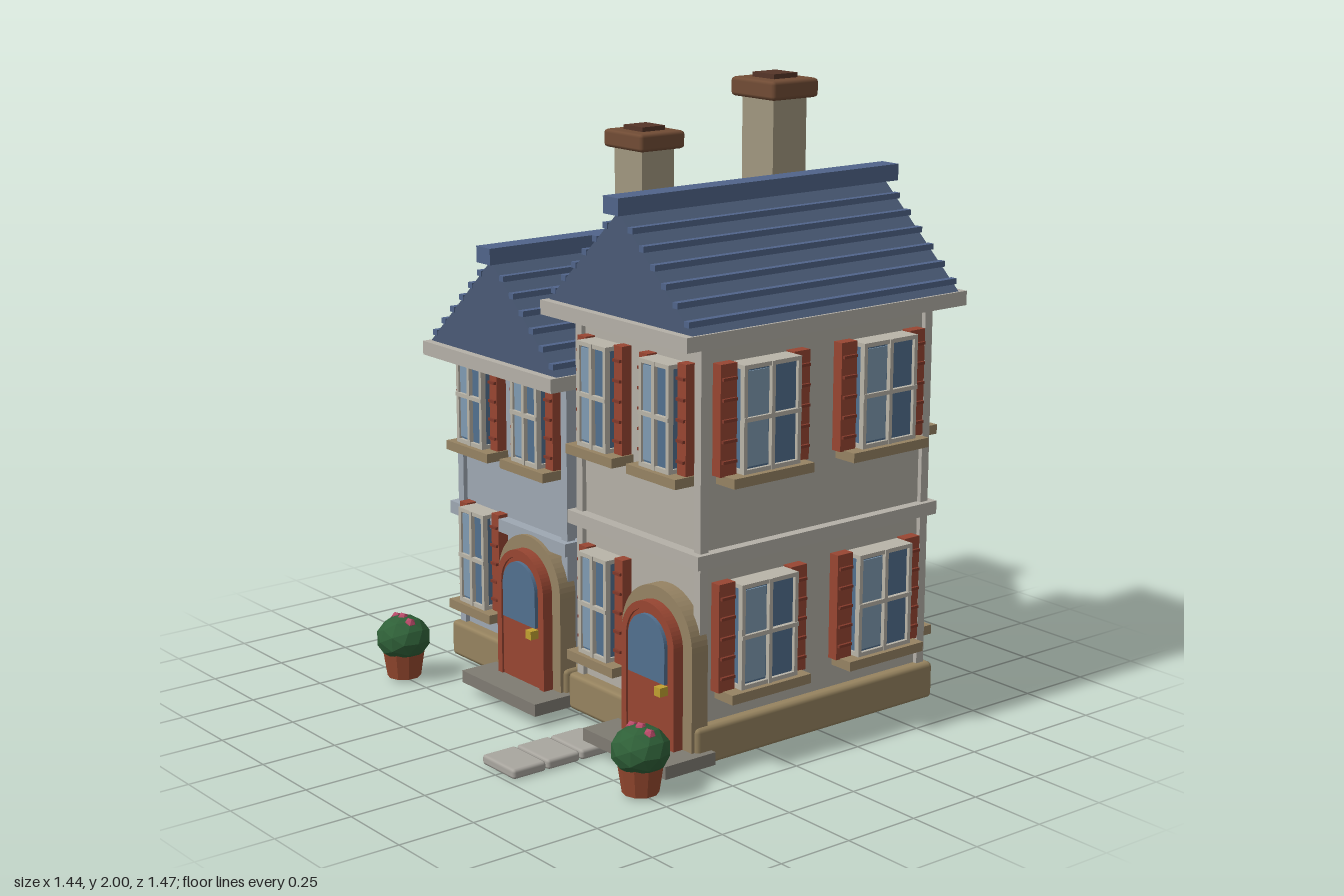
import * as THREE from 'three';
import { RoundedBoxGeometry } from 'three/addons/geometries/RoundedBoxGeometry.js';

const mat = (color, flatShading = false) => new THREE.MeshStandardMaterial({ color, flatShading });
const M = {
  stone: mat(0xb4b0a6), blueWall: mat(0x9ea7b2), trim: mat(0xb4b0a7), base: mat(0x96835f),
  roof: mat(0x4a5a76), rib: mat(0x50648a), red: mat(0x984632), slat: mat(0x82392a),
  glass: mat(0x52708f), paleGlass: mat(0x7f9bb2), frame: mat(0xb9b4a8), sill: mat(0x968363),
  chimney: mat(0xa1977f), cap: mat(0x714c35), capTop: mat(0x553528), brass: mat(0xc0a030),
  step: mat(0x7f7b72), path: mat(0xa9a69f), pot: mat(0x96492f, true),
  leaf: mat(0x2f6038, true), flower: mat(0xb84a68, true),
};
const DEPTH_C = -0.185, HALF_X = 0.285, HALF_Z = 0.445;

function add(parent, name, geo, material, x = 0, y = 0, z = 0) {
  const m = new THREE.Mesh(geo, material);
  m.name = name;
  m.position.set(x, y, z);
  parent.add(m);
  return m;
}
const box = (p, name, material, w, h, d, x, y, z) =>
  add(p, name, new THREE.BoxGeometry(w, h, d), material, x, y, z);
const softBox = (p, name, material, w, h, d, x, y, z, r = 0.01) =>
  add(p, name, new RoundedBoxGeometry(w, h, d, 1, r), material, x, y, z);
function group(parent, name, x = 0, y = 0, z = 0) {
  const g = new THREE.Group();
  g.name = name;
  g.position.set(x, y, z);
  parent.add(g);
  return g;
}

// Window on a wall at local z = 0, facing +z
function makeWindow(parent, w, h, x, y) {
  const g = group(parent, 'window', x, y, 0);
  box(g, 'glass', M.glass, w - 0.015, h - 0.015, 0.06, 0, 0, 0.03);
  box(g, 'palePane', M.paleGlass, w * 0.38, h - 0.04, 0.006, -w * 0.24, 0, 0.061);
  const t = 0.013;
  for (const s of [-1, 1]) {
    box(g, 'frameSide', M.frame, t, h, 0.018, s * (w - t) / 2, 0, 0.062);
    box(g, 'frameRail', M.frame, w, t, 0.07, 0, s * (h - t) / 2, 0.036);
    const sw = w * 0.28, sx = s * (w + sw) / 2;
    box(g, 'shutter', M.red, sw, h + 0.01, 0.036, sx, 0, 0.02);
    for (let i = 0; i < 5; i++)
      box(g, 'shutterSlat', M.slat, sw * 0.85, 0.009, 0.012, sx, (i - 2) * h * 0.19, 0.041);
  }
  box(g, 'mullion', M.frame, t, h, 0.014, 0, 0, 0.067);
  box(g, 'crossBar', M.frame, w, t, 0.014, 0, 0, 0.067);
  box(g, 'sill', M.sill, w + 0.09, 0.03, 0.085, 0, -h / 2 - 0.018, 0.04);
}

// Round-topped outline standing on y = bottom
function archPath(Type, r, bottom, spring) {
  const p = new Type();
  p.moveTo(-r, bottom);
  p.lineTo(r, bottom);
  p.lineTo(r, spring);
  p.absarc(0, spring, r, 0, Math.PI, false);
  p.lineTo(-r, bottom);
  return p;
}
function arch(parent, name, material, r, bottom, z, depth, hole) {
  const s = archPath(THREE.Shape, r, bottom, 0.39);
  if (hole) s.holes.push(archPath(THREE.Path, hole, bottom + 0.0005, 0.39));
  add(parent, name, new THREE.ExtrudeGeometry(s, { depth, bevelEnabled: false, curveSegments: 16 }), material, 0, 0, z);
}

// Arched doorway with its step, on a wall at local z = 0
function makeDoor(parent, x) {
  const g = group(parent, 'doorway', x, 0, 0);
  arch(g, 'doorSurround', M.sill, 0.167, 0.078, -0.01, 0.06, 0.124);
  arch(g, 'doorFrame', M.red, 0.125, 0.079, 0, 0.085, 0.102);
  arch(g, 'door', M.red, 0.103, 0.08, 0, 0.078);
  arch(g, 'doorGlass', M.glass, 0.087, 0.28, 0.02, 0.07);
  box(g, 'doorHandle', M.brass, 0.028, 0.028, 0.03, 0.075, 0.26, 0.093);
  box(g, 'doorStep', M.step, 0.4, 0.04, 0.19, 0, 0.06, 0.08);
}

// One house: eave is the top of the wall, band the height of the middle moulding
function makeHouse(root, o) {
  const g = group(root, o.name, o.x, 0, DEPTH_C);
  softBox(g, 'plinth', M.base, 0.64, 0.12, 0.97, 0, 0.095, 0, 0.015);
  box(g, 'walls', o.wall, HALF_X * 2, o.eave - 0.1, HALF_Z * 2, 0, (o.eave + 0.1) / 2, 0);
  for (const sx of [-1, 1]) for (const sz of [-1, 1])
    box(g, 'cornerPost', o.post, 0.03, o.eave - 0.15, 0.03, sx * HALF_X, (o.eave + 0.15) / 2, sz * HALF_Z);
  box(g, 'middleBand', o.post, 0.635, 0.042, 0.965, 0, o.band, 0);
  box(g, 'eaves', M.trim, 0.7, 0.045, 1.11, 0, o.eave + 0.022, 0);

  // Gabled roof with ribs along both slopes
  const y0 = o.eave + 0.044, rise = 0.31, half = 0.342;
  const tri = new THREE.Shape();
  tri.moveTo(-half, 0);
  tri.lineTo(half, 0);
  tri.lineTo(0, rise);
  tri.closePath();
  add(g, 'roof', new THREE.ExtrudeGeometry(tri, { depth: 1.055, bevelEnabled: false }), M.roof, 0, y0, -0.5275);
  for (const s of [-1, 1]) for (let i = 0; i < 6; i++) {
    const d = 0.06 + i * 0.0515;
    box(g, 'roofRib', M.rib, 0.023, 0.018, 1.06, s * d, y0 + rise * (1 - d / half) + 0.008, 0);
  }
  box(g, 'ridgeCap', M.rib, 0.073, 0.052, 1.11, 0, y0 + rise + 0.021, 0);

  // Chimney
  const c = group(g, 'chimney', -0.165, 0, -0.212), top = o.chimneyTop;
  box(c, 'chimneyShaft', M.chimney, 0.146, top - 0.07 - o.eave, 0.135, 0, (top - 0.07 + o.eave) / 2, 0);
  softBox(c, 'chimneyCap', M.cap, 0.205, 0.06, 0.187, 0, top - 0.045, 0, 0.012);
  box(c, 'chimneyTop', M.capTop, 0.102, 0.03, 0.095, 0, top - 0.015, 0);

  // Four walls of windows; the front ground floor has a door instead of the second one
  for (let k = 0; k < 4; k++) {
    const side = k % 2 === 1;
    const face = group(g, ['frontFace', 'leftFace', 'backFace', 'rightFace'][k]);
    face.rotation.y = k * Math.PI / 2;
    const wall = group(face, 'wallFittings', 0, 0, side ? HALF_X : HALF_Z);
    const w = side ? 0.22 : 0.14, off = side ? 0.235 : 0.15;
    for (const s of [-1, 1]) {
      makeWindow(wall, w, o.winH, s * off, o.upper);
      if (k !== 0 || s < 0) makeWindow(wall, w, o.winH, s * off, o.lower);
    }
    if (k === 0) makeDoor(wall, 0.14);
  }
}

function makePlanter(root, x) {
  const g = group(root, 'planter', x, 0, 0.5);
  add(g, 'pot', new THREE.CylinderGeometry(0.075, 0.055, 0.13, 10), M.pot, 0, 0.075, 0);
  add(g, 'potRim', new THREE.CylinderGeometry(0.078, 0.076, 0.02, 10), M.pot, 0, 0.133, 0);
  const leaf = add(g, 'foliage', new THREE.IcosahedronGeometry(0.09, 1), M.leaf, 0, 0.14, 0);
  leaf.scale.y = 0.85;
  for (let i = -1; i <= 1; i++)
    add(g, 'flower', new THREE.IcosahedronGeometry(0.02, 0), M.flower, i * 0.04, 0.205 - Math.abs(i) * 0.008, 0);
}

export function createModel() {
  const root = new THREE.Group();
  root.name = 'pairedTownHouses';
  makeHouse(root, {
    name: 'lowerHouse', x: -0.325, wall: M.blueWall, post: M.blueWall, eave: 1.067, band: 0.548,
    winH: 0.32, upper: 0.955, lower: 0.415, chimneyTop: 1.77,
  });
  makeHouse(root, {
    name: 'tallerHouse', x: 0.325, wall: M.stone, post: M.trim, eave: 1.306, band: 0.665,
    winH: 0.325, upper: 1.08, lower: 0.42, chimneyTop: 2.0,
  });
  // Paving stones in front
  for (let i = 0; i < 3; i++)
    softBox(root, 'pavingStone', M.path, 0.166, 0.032, 0.12, 0.237, 0.018, 0.42 + i * 0.126, 0.01);
  for (const s of [-1, 1]) makePlanter(root, s * 0.63);
  return root;
}
